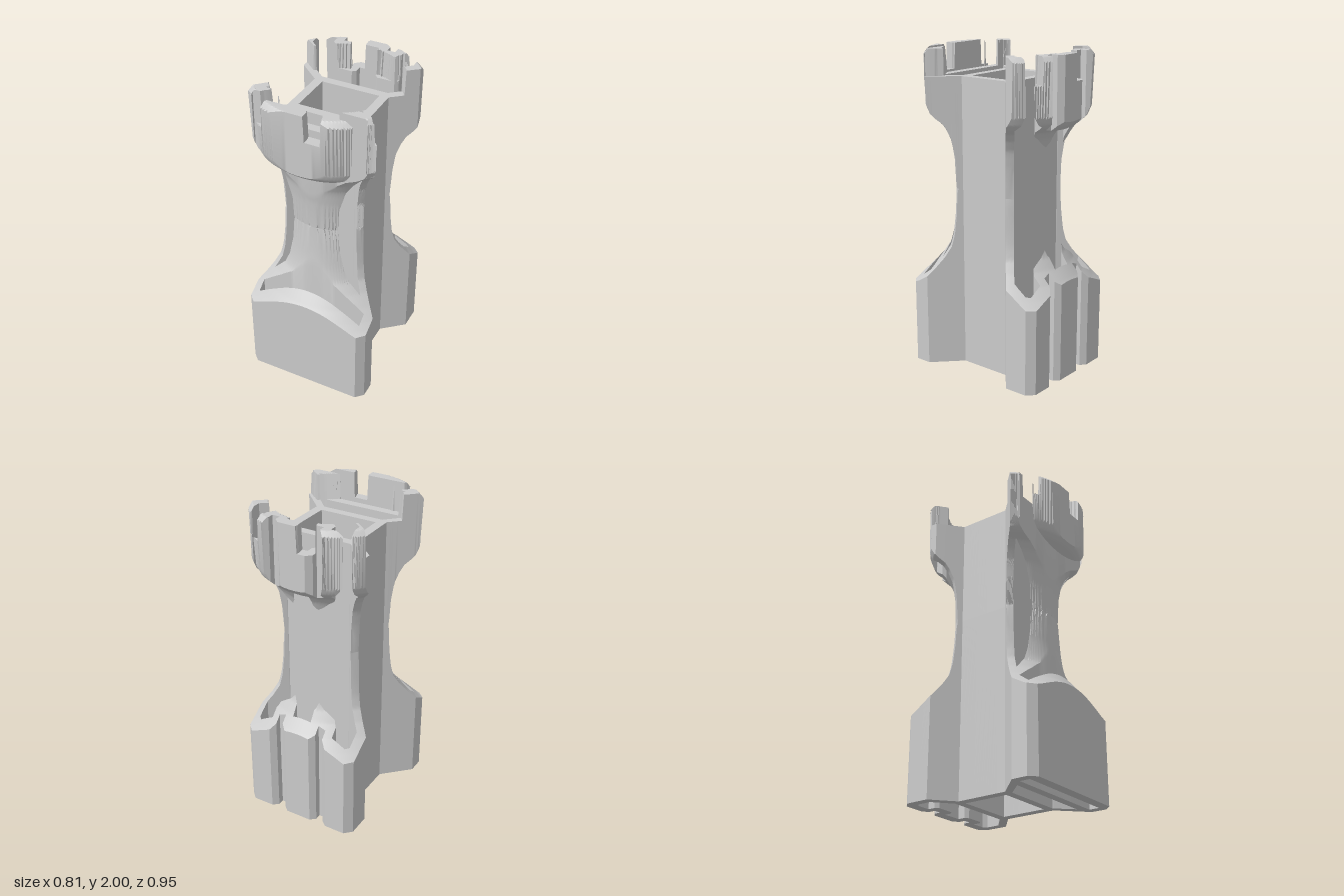
import * as THREE from 'three';
import { toCreasedNormals } from 'three/addons/utils/BufferGeometryUtils.js';

// Rook-shaped outline walls (seen in plan) trimmed by a round rook body.
// Round body: height of its surface at a given radius, below and above the waist.
const lowerProfile = [[0.325, 1.15], [0.33, 1.0], [0.345, 0.86], [0.365, 0.78], [0.41, 0.71],
  [0.47, 0.64], [0.53, 0.58], [0.57, 0.545], [0.63, 0.505]];
const upperProfile = [[0.325, 1.15], [0.328, 1.3], [0.35, 1.44], [0.38, 1.51], [0.41, 1.555],
  [0.45, 1.585], [0.48, 1.615], [0.502, 1.67]];
const R_OUT = 0.502, R_IN = 0.39, FLOOR = 1.84, TOP = 2;
const SLOT_ANGLE = 10, SLOT_STEP = 45, SLOT_HALF = 6;

function lookup(profile, r) {
  if (r <= profile[0][0]) return profile[0][1];
  for (let i = 1; i < profile.length; i++) {
    const [r0, y0] = profile[i - 1], [r1, y1] = profile[i];
    if (r <= r1) return y0 + (y1 - y0) * (r - r0) / (r1 - r0);
  }
  return profile[profile.length - 1][1];
}

// Battlement ring with evenly spaced slots around a recessed floor
function topHeight(x, z, r) {
  if (r < R_IN) return FLOOR;
  const a = THREE.MathUtils.radToDeg(Math.atan2(x, z)) - SLOT_ANGLE;
  const off = a - Math.round(a / SLOT_STEP) * SLOT_STEP;
  if (Math.abs(off) < SLOT_HALF) return FLOOR;
  return TOP - Math.max(0, r - R_OUT + 0.02) * 1.2;
}

const lowerSpan = (x, z) => [0, lookup(lowerProfile, Math.hypot(x, z))];
function upperSpan(x, z) {
  const r = Math.hypot(x, z), top = topHeight(x, z, r);
  return r > R_OUT ? [top, top] : [lookup(upperProfile, r), top];
}

// Plan walls for x >= 0: each entry is [outer x, outer z, inner x, inner z]
const outline = [
  // crenellated back edge
  [0, -0.475, 0, -0.41], [0.085, -0.475, 0.063, -0.41], [0.118, -0.445, 0.063, -0.385],
  [0.118, -0.405, 0.063, -0.365], [0.12, -0.405, 0.085, -0.345], [0.166, -0.405, 0.195, -0.345],
  [0.166, -0.406, 0.215, -0.365], [0.166, -0.445, 0.215, -0.411], [0.2, -0.475, 0.216, -0.412],
  // head side and slope
  [0.335, -0.475, 0.305, -0.412], [0.38, -0.43, 0.327, -0.39], [0.38, -0.285, 0.327, -0.305],
  [0.24, -0.165, 0.215, -0.21], [0.24, -0.164, 0.185, -0.157],
  // shaft side, lower slope and foot
  [0.24, 0.164, 0.185, 0.133], [0.24, 0.165, 0.2, 0.185], [0.39, 0.315, 0.3, 0.29],
  [0.405, 0.33, 0.352, 0.345], [0.405, 0.43, 0.352, 0.41], [0.36, 0.475, 0.351, 0.41],
  [0, 0.475, 0, 0.41],
];
const strips = {
  outlineWall: outline,
  shaftBackWall: [[0, -0.21, 0, -0.157], [0.215, -0.21, 0.185, -0.157]],
  shaftFrontWall: [[0, 0.133, 0, 0.185], [0.185, 0.133, 0.2, 0.185]],
  innerFrontWall: [[0, 0.29, 0, 0.345], [0.3, 0.29, 0.352, 0.345]],
};

// Sweep one strip of wall, its floor and ceiling given by span(x, z)
function wallGeometry(strip, side, span) {
  const STEP = 0.006, ACROSS = 8, rows = [], pos = [];
  for (let i = 0; i < strip.length - 1; i++) {
    const a = strip[i], b = strip[i + 1];
    const len = Math.max(Math.hypot(b[0] - a[0], b[1] - a[1]), Math.hypot(b[2] - a[2], b[3] - a[3]));
    const n = Math.max(1, Math.ceil(len / STEP));
    for (let k = i ? 1 : 0; k <= n; k++) {
      const p = a.map((v, j) => v + (b[j] - v) * k / n);
      const row = [];
      for (let j = 0; j <= ACROSS; j++) {
        const t = j / ACROSS;
        const x = side * (p[0] + (p[2] - p[0]) * t), z = p[1] + (p[3] - p[1]) * t;
        const [lo, hi] = span(x, z);
        row.push({ lo: new THREE.Vector3(x, lo, z), hi: new THREE.Vector3(x, hi, z) });
      }
      rows.push(row);
    }
  }
  const ab = new THREE.Vector3(), ac = new THREE.Vector3();
  const tri = (a, b, c) => {
    if (ab.subVectors(b, a).cross(ac.subVectors(c, a)).length() < 1e-9) return;
    for (const v of side > 0 ? [a, b, c] : [a, c, b]) pos.push(v.x, v.y, v.z);
  };
  const quad = (a, b, c, d) => { tri(a, b, c); tri(a, c, d); };
  for (let i = 0; i < rows.length - 1; i++) {
    const p = rows[i], q = rows[i + 1];
    for (let j = 0; j < ACROSS; j++) {
      const cell = [p[j], p[j + 1], q[j + 1], q[j]];
      if (cell.every(c => c.hi.y - c.lo.y < 1e-6)) continue;
      quad(...cell.map(c => c.hi));
      quad(...cell.map(c => c.lo).reverse());
    }
    quad(p[0].lo, p[0].hi, q[0].hi, q[0].lo);
    quad(q[ACROSS].lo, q[ACROSS].hi, p[ACROSS].hi, p[ACROSS].lo);
  }
  const geo = new THREE.BufferGeometry();
  geo.setAttribute('position', new THREE.Float32BufferAttribute(pos, 3));
  return toCreasedNormals(geo, 0.6);
}

export function createModel() {
  const group = new THREE.Group();
  group.name = 'rookOutlineTower';
  const material = new THREE.MeshStandardMaterial({ color: 0xcccccc, side: THREE.DoubleSide });
  for (const [name, strip] of Object.entries(strips)) {
    for (const side of [1, -1]) {
      for (const [part, span] of [['Lower', lowerSpan], ['Upper', upperSpan]]) {
        const mesh = new THREE.Mesh(wallGeometry(strip, side, span), material);
        mesh.name = name + part + (side > 0 ? 'Left' : 'Right');
        group.add(mesh);
      }
    }
  }
  return group;
}
